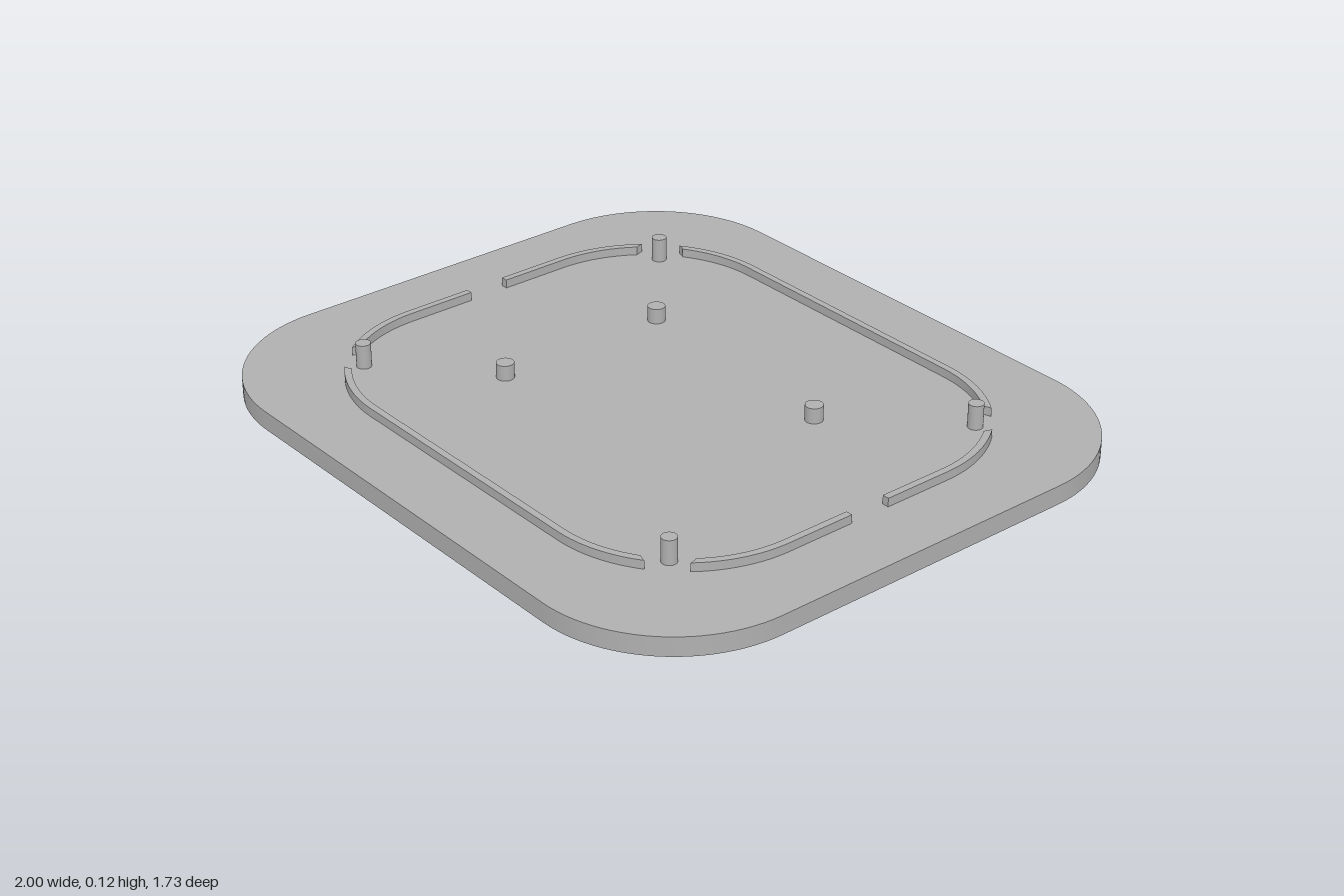
import * as THREE from 'three';
import { toCreasedNormals } from 'three/addons/utils/BufferGeometryUtils.js';

const PLATE_TOP = 0.055, RIM_TOP = 0.08;
const CORNER = new THREE.Vector2(0.4, 0.267);   // centre of the rim's corner arc
const PIN = new THREE.Vector2(0.648, 0.519);    // corner pin position
const R_OUT = 0.4, R_IN = 0.38, R_CUT = 0.07, GAP = 0.0615;

// Points along an arc, in either direction
function arc(c, r, a0, a1, n = 16) {
  return Array.from({ length: n + 1 }, (_, i) => {
    const a = a0 + (a1 - a0) * i / n;
    return new THREE.Vector2(c.x + r * Math.cos(a), c.y + r * Math.sin(a));
  });
}

// Extrude a plan outline upward from y0 to y1
function slab(points, y0, y1) {
  const geo = new THREE.ExtrudeGeometry(new THREE.Shape(points), { depth: y1 - y0, bevelEnabled: false });
  geo.rotateX(-Math.PI / 2).translate(0, y0, 0);
  return toCreasedNormals(geo, Math.PI / 6);
}

// Rim corner from the straight at angle "end" to the round clearance about the pin
function rimCorner(end, side) {
  const d = PIN.clone().sub(CORNER), dist = d.length(), mid = Math.atan2(d.y, d.x);
  const meet = r => mid + side * Math.acos((r * r + dist * dist - R_CUT * R_CUT) / (2 * r * dist));
  const outer = arc(CORNER, R_OUT, end, meet(R_OUT));
  const inner = arc(CORNER, R_IN, meet(R_IN), end);
  const angle = p => Math.atan2(p.y - PIN.y, p.x - PIN.x);
  let a0 = angle(outer[outer.length - 1]), a1 = angle(inner[0]);
  if (a1 - a0 > Math.PI) a1 -= 2 * Math.PI;
  if (a0 - a1 > Math.PI) a1 += 2 * Math.PI;
  return [...outer, ...arc(PIN, R_CUT, a0, a1, 4).slice(1, -1), ...inner];
}

export function createModel() {
  const group = new THREE.Group();
  const grey = new THREE.MeshStandardMaterial({ color: 0xb0b0b0 });
  grey.name = 'grey';
  const add = (name, geo) => {
    const mesh = new THREE.Mesh(geo, grey);
    mesh.name = name;
    group.add(mesh);
    return mesh;
  };

  // Base plate with rounded corners
  const outline = [[1, 1], [-1, 1], [-1, -1], [1, -1]].flatMap(([sx, sy], i) =>
    arc(new THREE.Vector2(sx * 0.6, sy * 0.466), 0.4, i * Math.PI / 2, (i + 1) * Math.PI / 2, 24));
  add('basePlate', slab(outline, 0, PLATE_TOP));

  // Long rim walls, back and front
  const half = rimCorner(Math.PI / 2, 1);
  const longWall = [...half, ...half.map(p => new THREE.Vector2(-p.x, p.y)).reverse()];
  for (const s of [1, -1]) {
    const pts = longWall.map(p => new THREE.Vector2(p.x, s * p.y));
    add(s > 0 ? 'backRim' : 'frontRim', slab(pts, PLATE_TOP, RIM_TOP));
  }

  // Side rim walls, split by a gap in the middle
  const sideWall = [new THREE.Vector2(CORNER.x + R_OUT, GAP), ...rimCorner(0, -1),
    new THREE.Vector2(CORNER.x + R_IN, GAP)];
  for (const sx of [1, -1]) for (const sy of [1, -1]) {
    const pts = sideWall.map(p => new THREE.Vector2(sx * p.x, sy * p.y));
    add((sx > 0 ? 'left' : 'right') + (sy > 0 ? 'Back' : 'Front') + 'Rim', slab(pts, PLATE_TOP, RIM_TOP));
  }

  // Upright pins
  const pin = (name, x, z, r, top) => {
    const geo = new THREE.CylinderGeometry(r, r, top - PLATE_TOP, 32);
    add(name, geo).position.set(x, (top + PLATE_TOP) / 2, z);
  };
  for (const sx of [1, -1]) for (const sz of [1, -1]) pin('cornerPin', sx * PIN.x, sz * PIN.y, 0.021, 0.125);
  for (const [x, z] of [[-0.352, -0.265], [0.352, -0.22], [-0.352, 0.262]]) pin('supportPin', x, z, 0.025, 0.1);

  return group;
}
